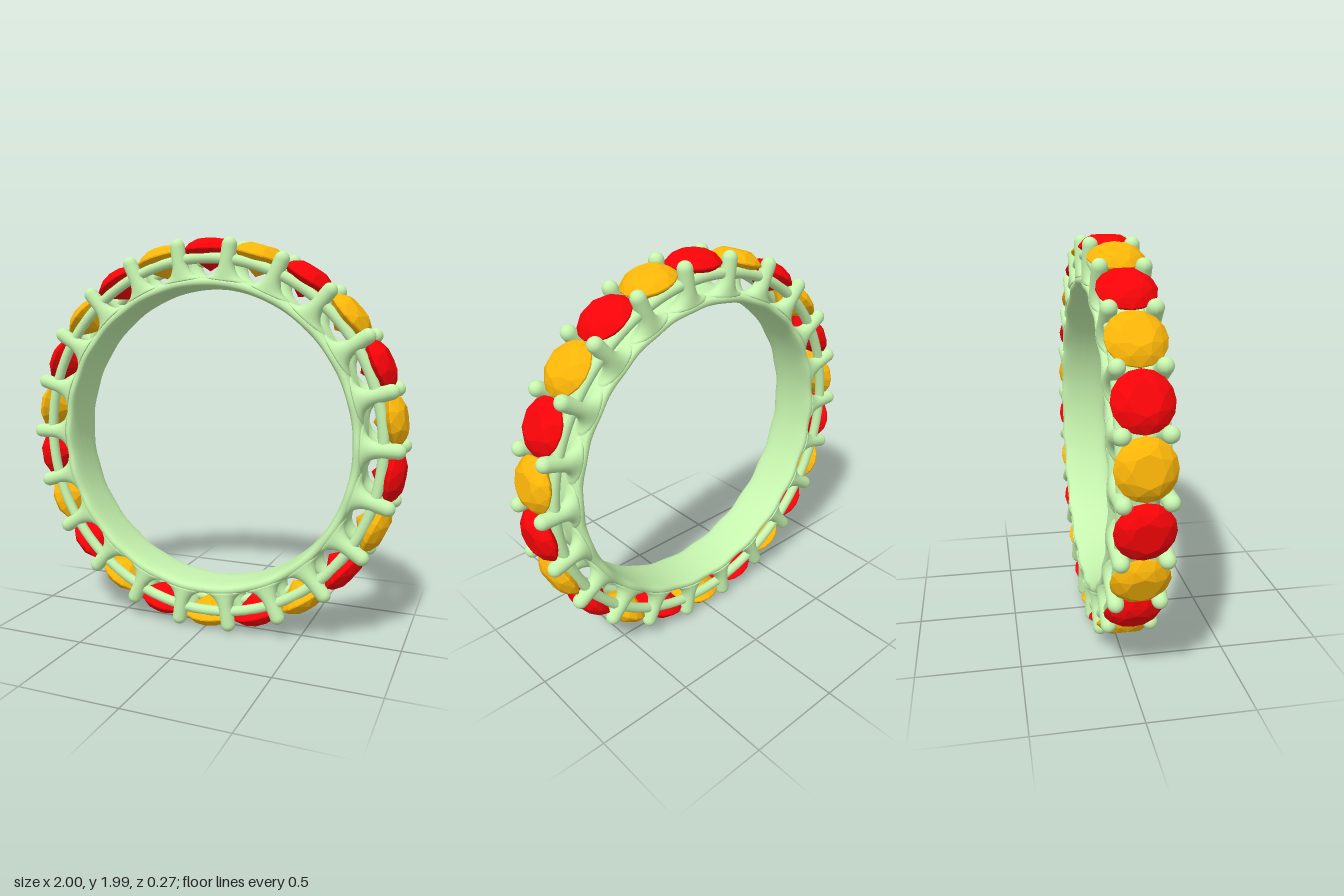
import * as THREE from 'three';
import { ConvexGeometry } from 'three/addons/geometries/ConvexGeometry.js';

const COUNT = 22, STEP = (Math.PI * 2) / COUNT, HALF_WIDTH = 0.135;

// Inner band: rounded section swept round, a little narrower beneath each stone
function bandGeometry() {
  const section = [];
  for (let i = 0; i <= 32; i++) {
    const a = Math.PI - (i / 32) * Math.PI * 2;
    const soften = (v, power) => Math.sign(v) * Math.pow(Math.abs(v), power);
    section.push(new THREE.Vector2(
      0.779 + 0.029 * soften(Math.cos(a), 0.7),
      -HALF_WIDTH * soften(Math.sin(a), 0.7),
    ));
  }
  const geo = new THREE.LatheGeometry(section, COUNT * 10);
  geo.rotateX(Math.PI / 2);
  const p = geo.attributes.position;
  for (let i = 0; i < p.count; i++) {
    const fromTop = Math.atan2(p.getX(i), p.getY(i));
    p.setZ(i, p.getZ(i) * (0.96 - 0.03 * Math.cos(fromTop * COUNT)));
  }
  geo.computeVertexNormals();
  return geo;
}

// Prong: round post with a domed tip, its foot flaring so neighbours form a round arch
function prongGeometry() {
  const geo = new THREE.SphereGeometry(1, 20, 40);
  const p = geo.attributes.position;
  const foot = 0.785, tip = 1.0, radius = 0.037;
  for (let i = 0; i < p.count; i++) {
    const x = p.getX(i), y = p.getY(i), z = p.getZ(i);
    const ring = Math.hypot(x, z);
    const ux = ring > 1e-6 ? x / ring : 0, uz = ring > 1e-6 ? z / ring : 0;
    const t = Math.acos(THREE.MathUtils.clamp(y, -1, 1)) / Math.PI;
    const dome = Math.min(t / 0.2, 1);
    const h = dome < 1
      ? tip - radius * (1 - Math.cos(dome * Math.PI / 2))
      : THREE.MathUtils.lerp(tip - radius, foot, (t - 0.2) / 0.8);
    const s = Math.sin(dome * Math.PI / 2);
    const u = THREE.MathUtils.clamp((0.885 - h) / 0.085, 0, 1);
    const arch = Math.sqrt(1 - u * u);
    const halfX = radius + 0.08 * (1 - arch);
    const inner = (HALF_WIDTH - 2 * radius) * arch;
    p.setXYZ(i, ux * s * halfX, h, (HALF_WIDTH + inner) / 2 + uz * s * (HALF_WIDTH - inner) / 2);
  }
  geo.computeVertexNormals();
  return geo;
}

// Round faceted stone: table, crown, girdle, pavilion and point
function stoneGeometry() {
  const pts = [new THREE.Vector3(0, 0.838, 0)];
  const ring = (n, r, h, turn) => {
    for (let i = 0; i < n; i++) {
      const a = ((i + turn) / n) * Math.PI * 2;
      pts.push(new THREE.Vector3(Math.cos(a) * r, h, Math.sin(a) * r));
    }
  };
  ring(8, 0.07, 0.994, 0);
  ring(8, 0.108, 0.974, 0.5);
  ring(16, 0.134, 0.944, 0);
  ring(16, 0.134, 0.937, 0);
  ring(8, 0.07, 0.884, 0.5);
  return new ConvexGeometry(pts);
}

export function createModel() {
  const model = new THREE.Group();
  model.name = 'stoneSetRing';
  const metal = new THREE.MeshStandardMaterial({ color: 0xc6f4ae });
  const red = new THREE.MeshStandardMaterial({ color: 0xf80408, flatShading: true });
  const gold = new THREE.MeshStandardMaterial({ color: 0xfcb608, flatShading: true });

  const add = (name, geo, mat, parent) => {
    const mesh = new THREE.Mesh(geo, mat);
    mesh.name = name;
    parent.add(mesh);
    return mesh;
  };

  const ring = new THREE.Group();
  ring.name = 'ring';
  ring.position.y = 1;
  model.add(ring);

  add('innerBand', bandGeometry(), metal, ring);

  // Slim rails running under the stones on both sides
  const rail = new THREE.TorusGeometry(0.896, 0.026, 12, 132);
  for (const side of [1, -1]) {
    add(side > 0 ? 'frontRail' : 'backRail', rail, metal, ring).position.z = side * 0.092;
  }

  // Alternating stones, with a pair of prongs between neighbours
  const stone = stoneGeometry(), prong = prongGeometry();
  for (let i = 0; i < COUNT; i++) {
    add(i % 2 ? 'goldStone' : 'redStone', stone, i % 2 ? gold : red, ring).rotation.z = -i * STEP;
    const pair = new THREE.Group();
    pair.name = 'prongPair';
    pair.rotation.z = -(i + 0.5) * STEP;
    add('frontProng', prong, metal, pair);
    add('backProng', prong, metal, pair).rotation.y = Math.PI;
    ring.add(pair);
  }
  return model;
}
